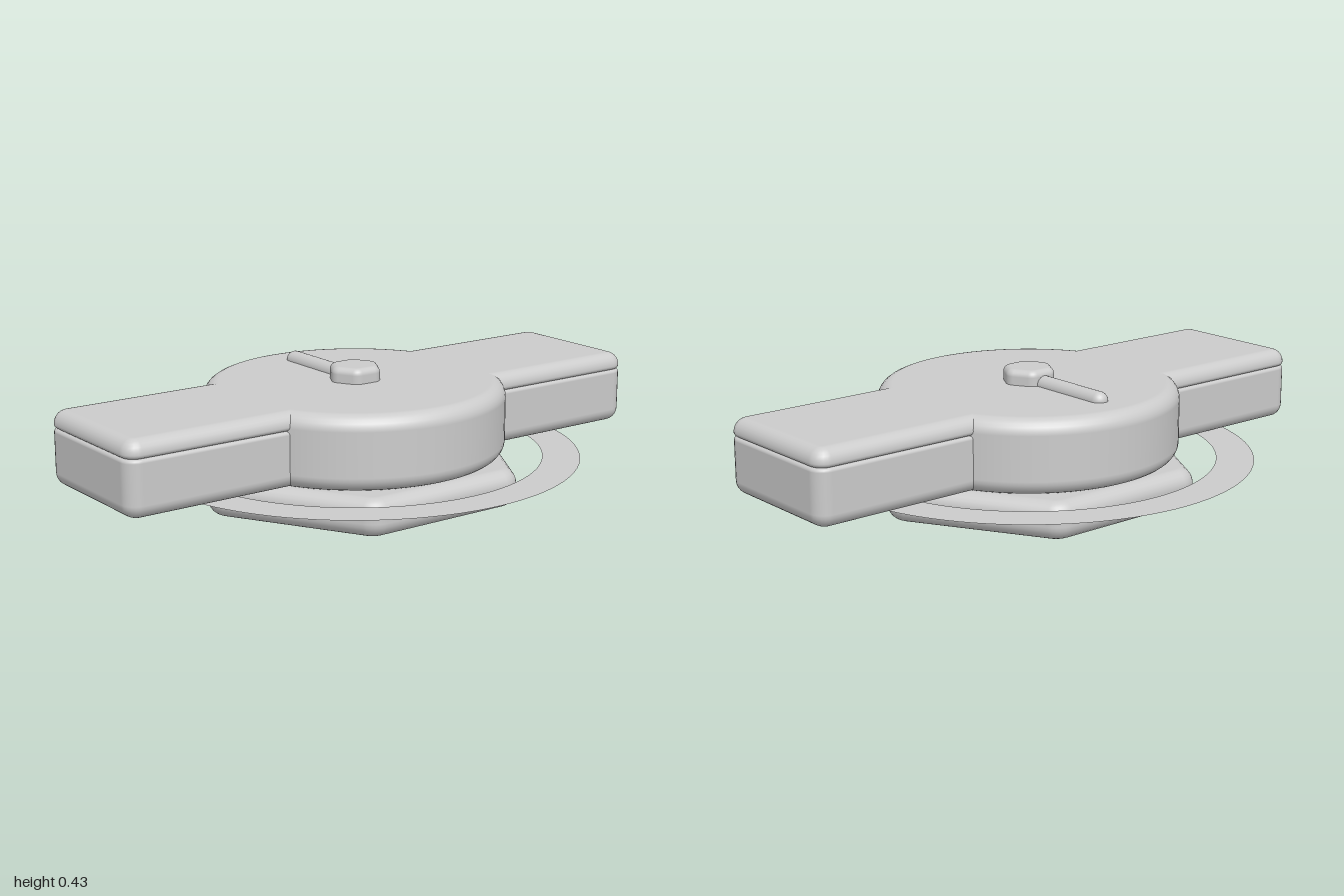
import * as THREE from 'three';

const material = new THREE.MeshStandardMaterial({ color: 0xcccccc });
const STEPS = 6;

// Arc centres of a rounded rectangle: [x, z, start angle, end angle, segments]
function rectangle(width, depth, r) {
  const hx = width / 2 - r, hz = depth / 2 - r, q = Math.PI / 2;
  return [[hx, -hz], [-hx, -hz], [-hx, hz], [hx, hz]]
    .map(([x, z], k) => [x, z, k * q, (k + 1) * q, STEPS]);
}

// Arc centres of a rounded hexagon with corners on the x axis
function hexagon(apothem, r) {
  const R = (apothem - r) / Math.cos(Math.PI / 6);
  return Array.from({ length: 6 }, (_, k) => {
    const t = k * Math.PI / 3;
    return [R * Math.cos(t), -R * Math.sin(t), t - Math.PI / 6, t + Math.PI / 6, STEPS];
  });
}

// Upright solid with outline arcs of radius r and filleted bottom and top edges
function filletedSolid(corners, r, y0, y1, bottomFillet, topFillet) {
  const outline = corners.flatMap(([x, z, t0, t1, n]) =>
    Array.from({ length: n + 1 }, (_, i) => [x, z, t0 + (t1 - t0) * i / n]));
  const rows = [];
  for (let i = 0; i <= STEPS; i++) {
    const a = (i / STEPS - 1) * Math.PI / 2;
    rows.push([bottomFillet * (1 - Math.cos(a)), y0 + bottomFillet * (1 + Math.sin(a)), a]);
  }
  for (let i = 0; i <= STEPS; i++) {
    const a = i / STEPS * Math.PI / 2;
    rows.push([topFillet * (1 - Math.cos(a)), y1 - topFillet * (1 - Math.sin(a)), a]);
  }

  const positions = [], normals = [], index = [], n = outline.length;
  for (const [inset, y, a] of rows) {
    for (const [x, z, t] of outline) {
      const c = Math.cos(t), s = -Math.sin(t);
      positions.push(x + (r - inset) * c, y, z + (r - inset) * s);
      normals.push(c * Math.cos(a), Math.sin(a), s * Math.cos(a));
    }
  }
  positions.push(0, y0, 0, 0, y1, 0);
  normals.push(0, -1, 0, 0, 1, 0);

  const last = (rows.length - 1) * n, bottom = rows.length * n, top = bottom + 1;
  for (let i = 0; i < n; i++) {
    const j = (i + 1) % n;
    for (let k = 0; k < last; k += n) {
      index.push(k + i, k + j, k + n + j, k + i, k + n + j, k + n + i);
    }
    index.push(bottom, j, i, top, last + i, last + j);
  }
  const geometry = new THREE.BufferGeometry();
  geometry.setAttribute('position', new THREE.Float32BufferAttribute(positions, 3));
  geometry.setAttribute('normal', new THREE.Float32BufferAttribute(normals, 3));
  geometry.setIndex(index);
  return geometry;
}

export function createModel() {
  const model = new THREE.Group();
  const add = (name, geometry, parent = model, mat = material) => {
    const mesh = new THREE.Mesh(geometry, mat);
    mesh.name = name;
    parent.add(mesh);
    return mesh;
  };

  // Hexagonal foot and round hub
  add('hexBase', filletedSolid(hexagon(0.5, 0.08), 0.08, 0, 0.125, 0.05, 0.05));
  add('hub', filletedSolid([[0, 0, 0, Math.PI * 2, 96]], 0.5, 0.128, 0.375, 0.05, 0.05));

  // Thin flat ring between foot and hub
  const flat = material.clone();
  flat.side = THREE.DoubleSide;
  const ring = add('flatRing', new THREE.RingGeometry(0.625, 0.75, 96), model, flat);
  ring.rotation.x = -Math.PI / 2;
  ring.position.y = 0.126;

  // Wings: a body with a separate lid, divided by a fine groove
  for (const side of [1, -1]) {
    const wing = new THREE.Group();
    wing.name = side > 0 ? 'leftWing' : 'rightWing';
    wing.position.x = side * 0.675;
    const outline = rectangle(0.65, 0.5, 0.05);
    add('wingBody', filletedSolid(outline, 0.05, 0.13, 0.317, 0.045, 0.012), wing);
    add('wingLid', filletedSolid(outline, 0.05, 0.317, 0.375, 0.014, 0.044), wing);
    model.add(wing);
  }

  // Pivot cap and pointer on top
  add('pivotCap', filletedSolid(hexagon(0.08, 0.035), 0.035, 0.36, 0.425, 0.01, 0.022));
  const pointer = add('pointer', new THREE.CapsuleGeometry(0.03, 0.28, 8, 24));
  pointer.rotation.x = Math.PI / 2;
  pointer.position.set(0, 0.376, -0.205);

  return model;
}
